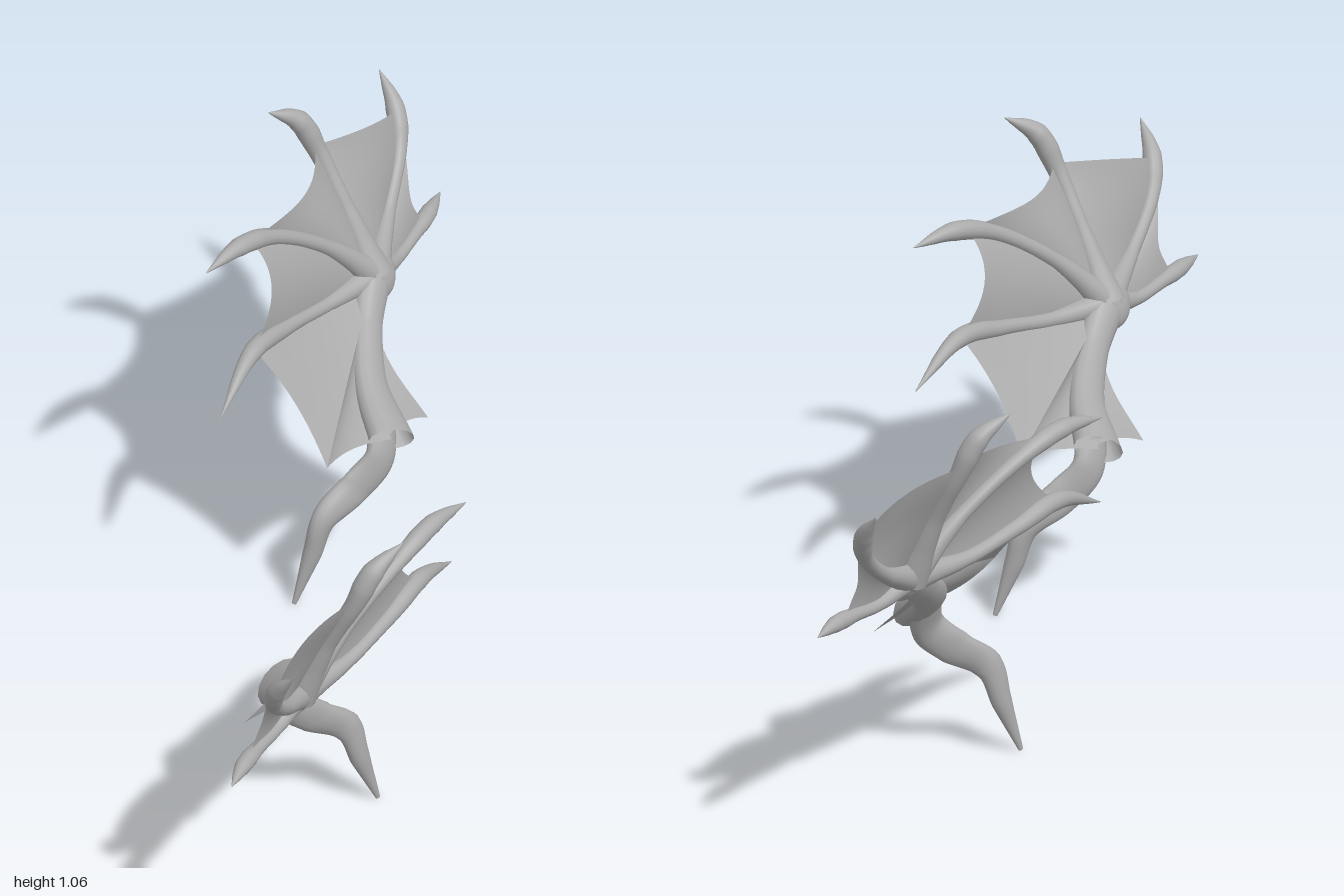
import * as THREE from 'three';

const HUB = [-0.64, 0.62, 0.6];
// Direction the inner face of the wing looks towards
const N = new THREE.Vector3(0.23, -0.44, 0.87).normalize();

const curveOf = (pts) => new THREE.CatmullRomCurve3(pts.map((p) => new THREE.Vector3(...p)));

// Value from an evenly spaced list at t in 0..1
function sample(list, t) {
  const f = t * (list.length - 1);
  const i = Math.min(Math.floor(f), list.length - 2);
  return THREE.MathUtils.lerp(list[i], list[i + 1], f - i);
}

function buildGeometry(pos, idx) {
  const g = new THREE.BufferGeometry();
  g.setAttribute('position', new THREE.Float32BufferAttribute(pos, 3));
  g.setIndex(idx);
  g.computeVertexNormals();
  return g;
}

// Open limb with elliptical cross-sections: half widths and half thicknesses along a curve
function limb(curve, widths, thick, rings = 40, sides = 14) {
  const pos = [], idx = [];
  for (let i = 0; i <= rings; i++) {
    const t = i / rings;
    const c = curve.getPoint(t), T = curve.getTangent(t);
    const side = new THREE.Vector3().crossVectors(N, T).normalize();
    const up = new THREE.Vector3().crossVectors(T, side);
    for (let j = 0; j < sides; j++) {
      const a = (j / sides) * Math.PI * 2;
      const p = c.clone()
        .addScaledVector(side, Math.cos(a) * sample(widths, t))
        .addScaledVector(up, Math.sin(a) * sample(thick, t));
      pos.push(p.x, p.y, p.z);
      if (i < rings) {
        const k = (j + 1) % sides, r = i * sides, s = r + sides;
        idx.push(r + j, r + k, s + k, r + j, s + k, s + j);
      }
    }
  }
  return buildGeometry(pos, idx);
}

// Skin between two curves; sag pulls the free edge in towards the hub,
// billow pushes the middle out of the wing plane
function skin(a, ta, b, tb, sag, billow, n = 16) {
  const pos = [], idx = [];
  for (let i = 0; i <= n; i++) {
    for (let j = 0; j <= n; j++) {
      const u = j / n, arch = 4 * u * (1 - u);
      const v = (i / n) * (1 - sag * arch);
      const p = a.getPoint(v * ta).lerp(b.getPoint(v * tb), u);
      p.addScaledVector(N, -billow * arch * v);
      pos.push(p.x, p.y, p.z);
      if (i < n && j < n) {
        const q = i * (n + 1) + j, r = q + n + 1;
        idx.push(q, r, q + 1, q + 1, r, r + 1);
      }
    }
  }
  return buildGeometry(pos, idx);
}

function createWing(mat) {
  const wing = new THREE.Group();
  const add = (name, geo) => {
    const m = new THREE.Mesh(geo, mat);
    m.name = name;
    wing.add(m);
    return m;
  };

  // Clawed fingers fanning out of the wrist, from the inner side round to the outer
  const fingers = [
    [HUB, [-0.47, 0.622, 0.575], [-0.31, 0.65, 0.535], [-0.163, 0.672, 0.485], [0.008, 0.603, 0.403]],
    [HUB, [-0.5, 0.755, 0.61], [-0.33, 0.863, 0.605], [-0.206, 0.9, 0.583], [-0.083, 0.893, 0.56]],
    [HUB, [-0.613, 0.79, 0.675], [-0.588, 0.92, 0.74], [-0.55, 1.01, 0.765], [-0.468, 1.064, 0.778]],
    [HUB, [-0.77, 0.69, 0.7], [-0.87, 0.785, 0.775], [-0.902, 0.86, 0.825], [-0.91, 0.93, 0.89]],
    [HUB, [-0.75, 0.592, 0.645], [-0.85, 0.6, 0.69], [-0.92, 0.605, 0.725], [-0.997, 0.604, 0.772]],
  ].map(curveOf);
  const radii = [0.04, 0.027, 0.019, 0.018, 0.02, 0.024, 0.023, 0.014, 0.001];
  const girth = [1, 1, 1.15, 1, 0.88];
  fingers.forEach((c, i) => {
    const r = radii.map((v) => v * girth[i]);
    add('finger' + (i + 1), limb(c, r, r));
  });

  // Forearm flaring into an open cuff
  const forearm = curveOf([HUB, [-0.56, 0.55, 0.53], [-0.475, 0.47, 0.42], [-0.43, 0.4, 0.295]]);
  add('forearm', limb(forearm, [0.05, 0.042, 0.05, 0.068], [0.036, 0.03, 0.032, 0.042]));

  // Upper arm coming out of the cuff, bent and tapering
  const upperArm = curveOf([
    [-0.445, 0.43, 0.355], [-0.415, 0.345, 0.32], [-0.35, 0.285, 0.33],
    [-0.265, 0.225, 0.345], [-0.235, 0.13, 0.356], [-0.19, 0.004, 0.368],
  ]);
  add('upperArm', limb(upperArm,
    [0.045, 0.045, 0.045, 0.036, 0.026, 0.006], [0.025, 0.022, 0.018, 0.025, 0.021, 0.005]));

  // Wrist knuckle
  const wrist = add('wrist', new THREE.SphereGeometry(1, 24, 16));
  wrist.scale.set(0.066, 0.066, 0.036);
  wrist.quaternion.setFromUnitVectors(new THREE.Vector3(0, 0, 1), N);
  wrist.position.set(...HUB);

  // Skin between the fingers
  const reach = [0.74, 0.66, 0.54, 0.73, 0.62];
  const sags = [0.12, 0.13, 0.01, 0.3];
  const billows = [0.03, 0.045, 0.03, 0.02];
  sags.forEach((s, i) => add('membrane' + (i + 1),
    skin(fingers[i], reach[i], fingers[i + 1], reach[i + 1], s, billows[i])));

  // Skin trailing from the forearm on both sides
  const innerFold = curveOf([HUB, [-0.42, 0.535, 0.43], [-0.19, 0.45, 0.25]]);
  const outerEdge = curveOf([
    [-0.69, 0.585, 0.62], [-0.595, 0.555, 0.555], [-0.56, 0.48, 0.45], [-0.58, 0.374, 0.337],
  ]);
  add('innerMembrane', skin(fingers[0], 0.74, innerFold, 1, 0.05, 0));
  add('innerArmMembrane', skin(innerFold, 1, forearm, 1, 0.03, -0.02));
  add('outerArmMembrane', skin(forearm, 0.97, outerEdge, 1, 0.03, 0));
  return wing;
}

export function createModel() {
  const gray = new THREE.MeshStandardMaterial({ color: 0xaaaaaa, side: THREE.DoubleSide });
  gray.name = 'gray';
  const model = new THREE.Group();
  model.name = 'wingPair';
  // Two wings, one turned half round
  ['rightWing', 'leftWing'].forEach((name, i) => {
    const wing = createWing(gray);
    wing.name = name;
    wing.rotation.y = i * Math.PI;
    model.add(wing);
  });
  return model;
}
